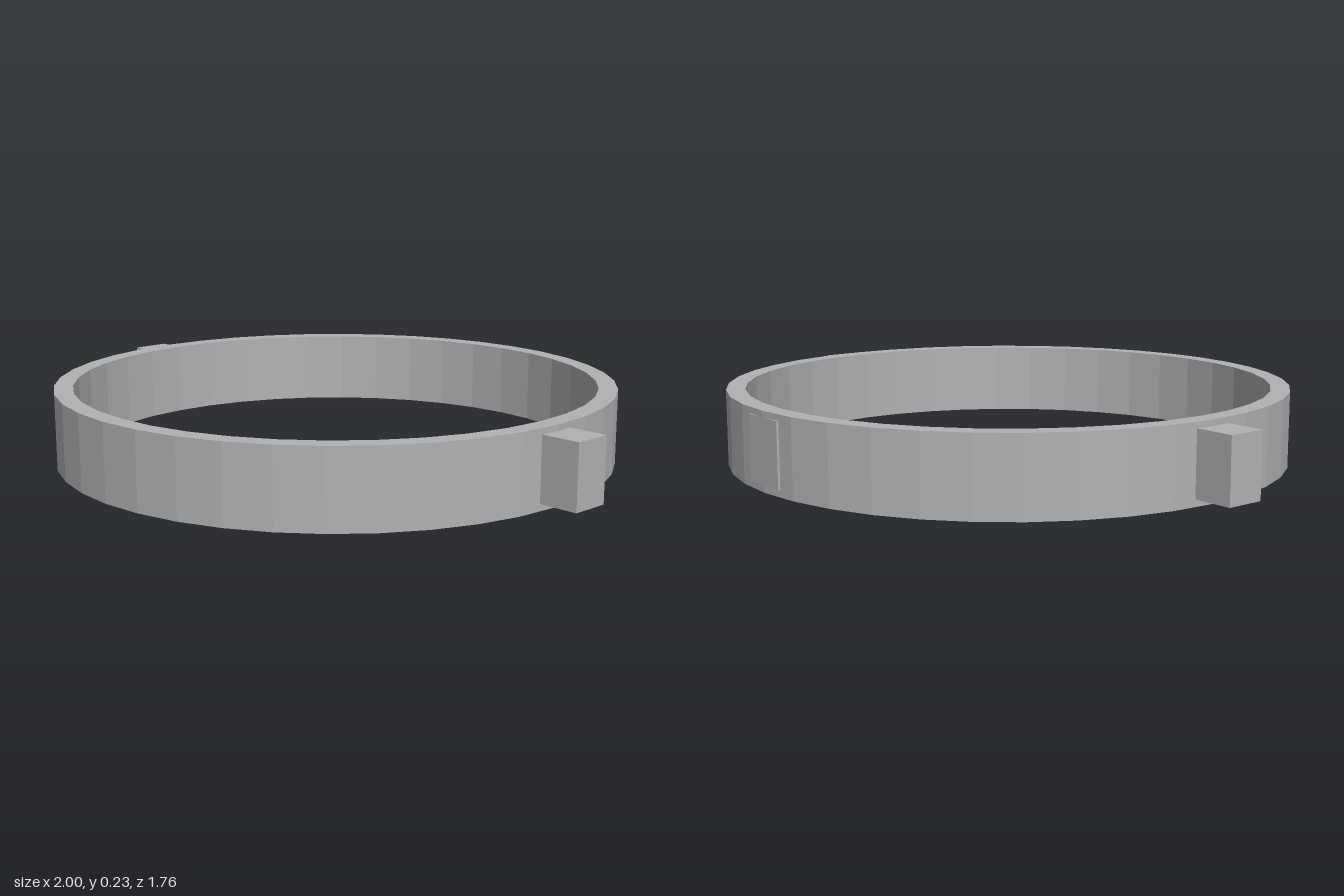
import * as THREE from 'three';

export function createModel() {
  const model = new THREE.Group();
  const grey = new THREE.MeshStandardMaterial({ color: 0xb2b2b2 });
  grey.name = 'plain grey';
  grey.flatShading = true;

  const outer = 0.882, inner = 0.823, height = 0.235, sides = 40;

  // Hollow 40-sided band, closed profile turned about y
  const profile = [
    [inner, 0], [outer, 0], [outer, height], [inner, height], [inner, 0],
  ].map(([r, y]) => new THREE.Vector2(r, y));
  const ring = new THREE.Mesh(new THREE.LatheGeometry(profile, sides), grey);
  ring.name = 'ring';
  model.add(ring);

  const addBlock = (name, w, h, d, x, y, z) => {
    const block = new THREE.Mesh(new THREE.BoxGeometry(w, h, d), grey);
    block.name = name;
    block.position.set(x, y, z);
    model.add(block);
  };

  // Side tabs, rooted inside the band wall
  const tabRoot = 0.85, tabLength = 1 - tabRoot;
  for (const [name, side] of [['leftTab', 1], ['rightTab', -1]]) {
    addBlock(name, tabLength, 0.195, 0.122, side * (tabRoot + tabLength / 2), 0.119, 0);
  }

  // Flat pad almost flush with the back of the band
  addBlock('backPad', 0.156, 0.195, 0.04, 0, 0.119, -outer + 0.0195);

  return model;
}
